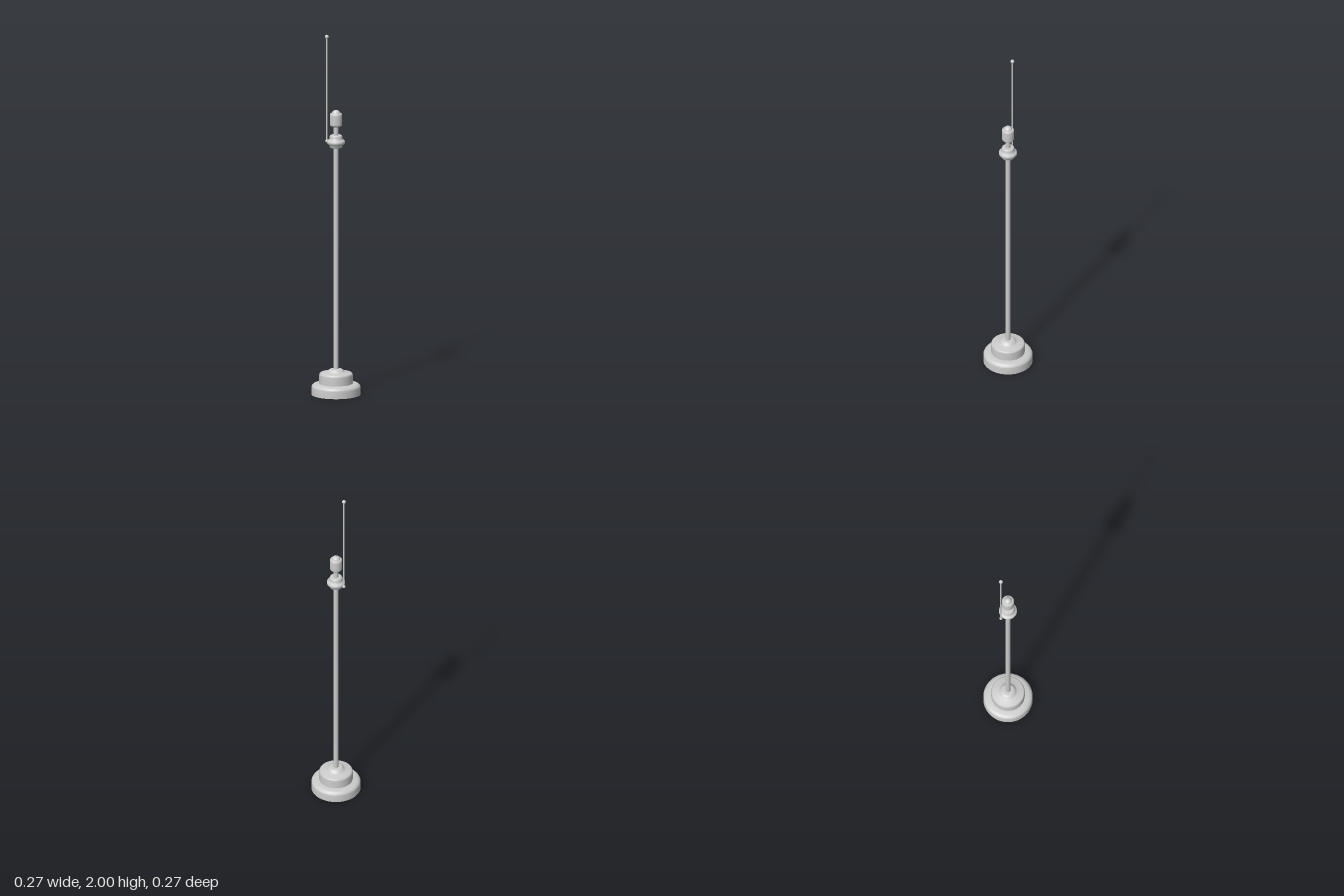
import * as THREE from 'three';

export function createModel() {
  const group = new THREE.Group();
  group.name = 'floorLamp';
  const material = new THREE.MeshStandardMaterial({ color: 0xcccccc });

  const add = (name, geometry, x = 0, y = 0) => {
    const mesh = new THREE.Mesh(geometry, material);
    mesh.name = name;
    mesh.position.set(x, y, 0);
    group.add(mesh);
  };

  // Smooth turned part from [radius, height] pairs, bottom to top; a repeated pair makes a sharp edge
  const turned = (name, profile) => {
    const points = profile.map(([r, y]) => new THREE.Vector2(r, y));
    add(name, new THREE.LatheGeometry(points, 64));
  };

  // Stepped base
  turned('base', [[0, 0], [0.135, 0], [0.135, 0], [0.135, 0.04], [0.132, 0.048], [0.126, 0.055], [0.115, 0.06],
    [0.092, 0.062], [0.092, 0.062], [0.092, 0.108], [0.09, 0.115], [0.084, 0.12], [0.05, 0.123],
    [0.044, 0.131], [0.036, 0.139], [0.028, 0.142], [0, 0.142]]);

  // Pole
  add('pole', new THREE.CylinderGeometry(0.0135, 0.0135, 1.26, 32), 0, 0.76);

  // Collar with a bulging ring
  turned('collar', [[0, 1.376], [0.03, 1.376], [0.034, 1.379], [0.036, 1.394], [0.044, 1.395], [0.049, 1.401],
    [0.05, 1.407], [0.049, 1.414], [0.044, 1.42], [0.035, 1.422], [0.035, 1.438], [0.033, 1.444],
    [0.028, 1.447], [0, 1.447]]);

  // Neck, socket and finial
  add('neck', new THREE.CylinderGeometry(0.0135, 0.0135, 0.07, 32), 0, 1.475);
  turned('socket', [[0, 1.494], [0.024, 1.494], [0.031, 1.499], [0.034, 1.506], [0.034, 1.558],
    [0.032, 1.565], [0.027, 1.569], [0, 1.57]]);
  add('finial', new THREE.SphereGeometry(0.024, 32, 20), 0, 1.563);

  // Upright rod at the side with a ball at each end
  add('rod', new THREE.CylinderGeometry(0.004, 0.004, 0.582, 16), -0.058, 1.698);
  add('rodBall', new THREE.SphereGeometry(0.011, 24, 16), -0.058, 1.989);
  add('rodMount', new THREE.SphereGeometry(0.009, 24, 16), -0.058, 1.407);

  return group;
}
